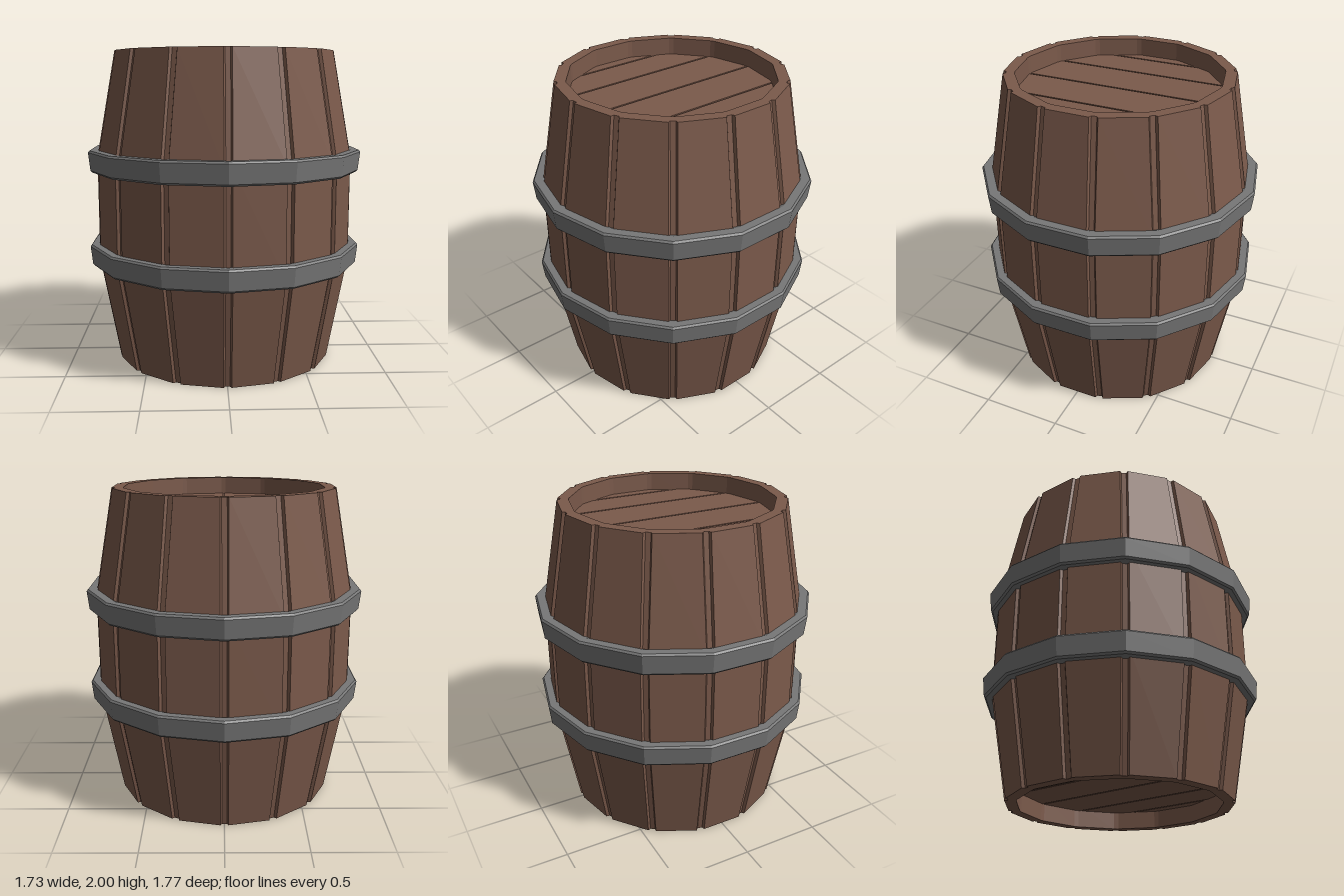
import * as THREE from 'three';

const SIDES = 14;
const STEP = (Math.PI * 2) / SIDES;
const SLOPE = Math.tan(STEP / 2);
const INNER_R = 0.635; // corner radius of the opening
const RECESS = 0.11; // how deep the heads sit

const wood = new THREE.MeshStandardMaterial({ color: 0x7b5a4b, flatShading: true });
const iron = new THREE.MeshStandardMaterial({ color: 0x777777, flatShading: true });

// One ring of the stave wall: four points per corner, pressed in by "depth" to form a groove
function staveRing(r, y, depth) {
  const ring = [];
  for (let i = 0; i < SIDES; i++) {
    const a = i * STEP;
    for (const [s, d] of [[-0.025, 0], [-0.015, depth], [0.015, depth], [0.025, 0]]) {
      const rad = r - Math.abs(s) * SLOPE - d;
      ring.push([
        Math.sin(a) * rad + Math.cos(a) * s,
        y,
        Math.cos(a) * rad - Math.sin(a) * s,
      ]);
    }
  }
  return ring;
}

// Skin a list of closed rings
function loft(rings) {
  const n = rings[0].length;
  const index = [];
  for (let j = 0; j < rings.length - 1; j++) {
    for (let i = 0; i < n; i++) {
      const a = j * n + i;
      const b = j * n + ((i + 1) % n);
      index.push(a, b, a + n, b, b + n, a + n);
    }
  }
  const geo = new THREE.BufferGeometry();
  geo.setAttribute('position', new THREE.Float32BufferAttribute(rings.flat(2), 3));
  geo.setIndex(index);
  geo.computeVertexNormals();
  return geo;
}

// Half depth of the opening at a given x
function edgeZ(x) {
  const apothem = INNER_R * Math.cos(STEP / 2);
  let z = Infinity;
  for (let i = 0; i < SIDES / 2; i++) {
    const a = (i + 0.5) * STEP;
    if (Math.cos(a) > 1e-6) z = Math.min(z, (apothem - x * Math.sin(a)) / Math.cos(a));
  }
  return z;
}

// Planked head, cut to the opening, with narrow gaps between planks
function createHead(name, y) {
  const head = new THREE.Group();
  head.name = name;
  const limit = INNER_R * Math.cos(STEP / 2);
  const cuts = [-limit, -0.545, -0.3, 0, 0.3, 0.545, limit];
  const corners = [];
  for (let i = -3; i <= 3; i++) corners.push(INNER_R * Math.sin(i * STEP));
  for (let i = 0; i < cuts.length - 1; i++) {
    const x0 = cuts[i] + (i > 0 ? 0.006 : 0);
    const x1 = cuts[i + 1] - (i < cuts.length - 2 ? 0.006 : 0);
    const xs = [x0, ...corners.filter((x) => x > x0 + 1e-4 && x < x1 - 1e-4), x1];
    const outline = [
      ...xs.map((x) => new THREE.Vector2(x, -edgeZ(Math.abs(x)))),
      ...xs.reverse().map((x) => new THREE.Vector2(x, edgeZ(Math.abs(x)))),
    ];
    const geo = new THREE.ExtrudeGeometry(new THREE.Shape(outline), {
      depth: 0.03,
      bevelEnabled: false,
    });
    geo.rotateX(-Math.PI / 2);
    const plank = new THREE.Mesh(geo, wood);
    plank.name = 'headPlank';
    plank.position.y = y;
    head.add(plank);
  }
  return head;
}

// Iron hoop with small bevels, slightly wider at its top
function createHoop(name, y) {
  const profile = [
    [0.8, 0], [0.862, 0], [0.874, 0.012], [0.887, 0.128],
    [0.877, 0.14], [0.825, 0.14], [0.8, 0.13], [0.8, 0],
  ].map(([r, h]) => new THREE.Vector2(r, h));
  const hoop = new THREE.Mesh(new THREE.LatheGeometry(profile, SIDES), iron);
  hoop.name = name;
  hoop.position.y = y;
  return hoop;
}

export function createModel() {
  const barrel = new THREE.Group();
  barrel.name = 'barrel';

  // Stave wall: inside of the lower rim, up the outside, inside of the upper rim
  const G = 0.02;
  const staves = new THREE.Mesh(loft([
    staveRing(INNER_R, RECESS + 0.04, 0),
    staveRing(INNER_R, 0, 0),
    staveRing(0.708, 0, G),
    staveRing(0.831, 0.667, G),
    staveRing(0.831, 1.333, G),
    staveRing(0.708, 2, G),
    staveRing(INNER_R, 2, 0),
    staveRing(INNER_R, 2 - RECESS - 0.04, 0),
  ]), wood);
  staves.name = 'staves';
  barrel.add(staves);

  // Heads, with a solid core closing the gaps between planks
  barrel.add(createHead('topHead', 2 - RECESS - 0.03));
  barrel.add(createHead('bottomHead', RECESS));
  const core = new THREE.Mesh(
    new THREE.CylinderGeometry(INNER_R, INNER_R, 2 - 2 * (RECESS + 0.03), SIDES), wood);
  core.name = 'core';
  core.position.y = 1;
  barrel.add(core);

  barrel.add(createHoop('upperHoop', 1.236));
  barrel.add(createHoop('lowerHoop', 0.63));
  return barrel;
}
